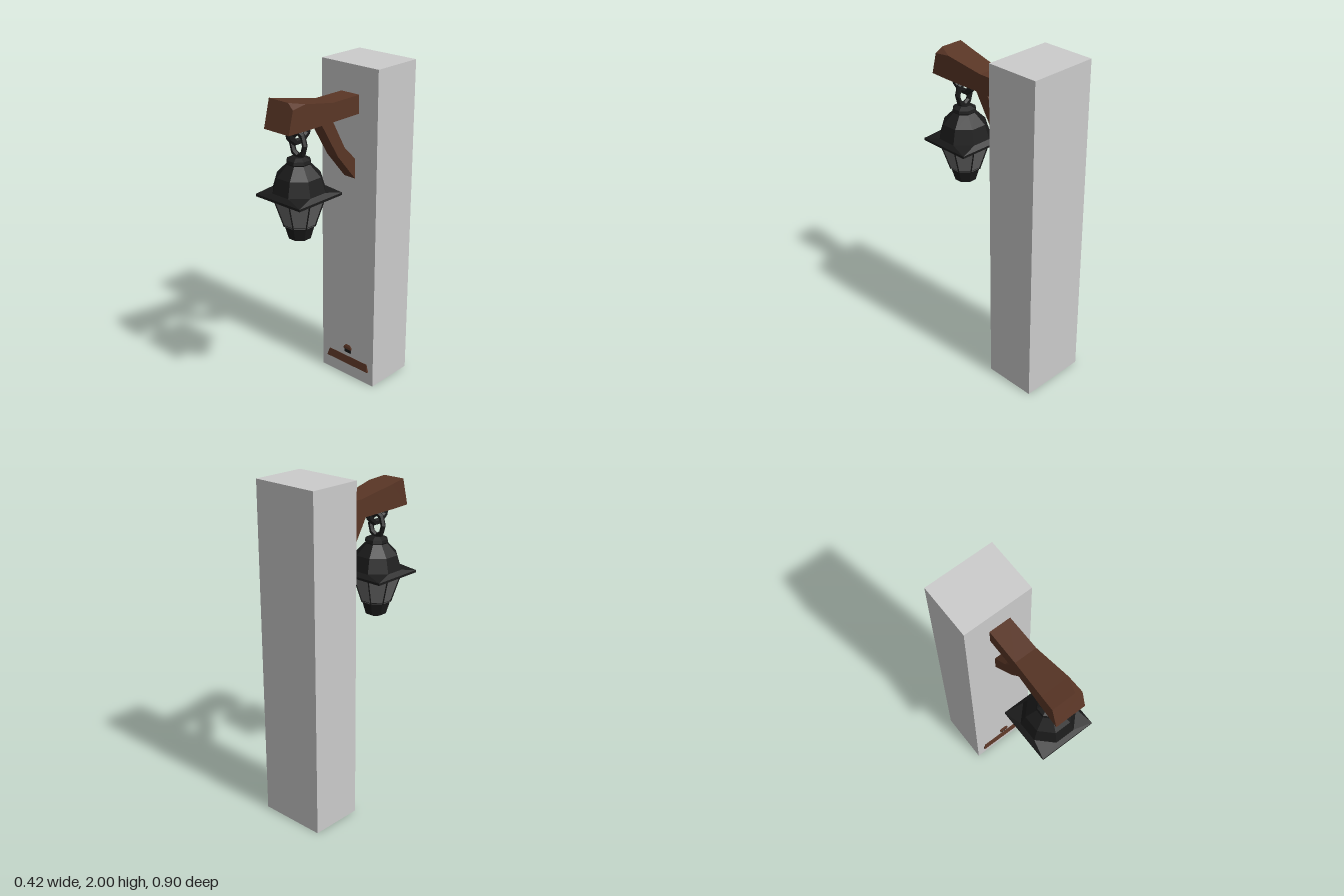
import * as THREE from 'three';

const material = (color) => new THREE.MeshStandardMaterial({ color, flatShading: true });
const stone = material(0xcccccc);
const wood = material(0x5a3626);
const iron = material(0x1b1b1b);
const glass = material(0x666666);

function part(name, geometry, mat, x = 0, y = 0, z = 0) {
  const mesh = new THREE.Mesh(geometry, mat);
  mesh.name = name;
  mesh.position.set(x, y, z);
  return mesh;
}

// Closed skin over cross-sections, each wound counter-clockwise about the direction of travel
function loft(rings) {
  const pos = [];
  const tri = (a, b, c) => pos.push(...a, ...b, ...c);
  const n = rings[0].length;
  for (let i = 0; i < rings.length - 1; i++) {
    for (let j = 0; j < n; j++) {
      const k = (j + 1) % n;
      const a = rings[i][j], b = rings[i][k], c = rings[i + 1][k], d = rings[i + 1][j];
      tri(a, b, c);
      tri(a, c, d);
    }
  }
  const first = rings[0], last = rings[rings.length - 1];
  for (let j = 1; j < n - 1; j++) {
    tri(first[0], first[j + 1], first[j]);
    tri(last[0], last[j], last[j + 1]);
  }
  const geometry = new THREE.BufferGeometry();
  geometry.setAttribute('position', new THREE.Float32BufferAttribute(pos, 3));
  geometry.computeVertexNormals();
  return geometry;
}

// Octagon with a flat front; the square version pulls its points in pairs to four corners
function ring(y, apothem, square = false) {
  const points = [];
  for (let i = 0; i < 8; i++) {
    const angle = square ? Math.PI / 4 + Math.floor(i / 2) * Math.PI / 2 : Math.PI / 8 + i * Math.PI / 4;
    const r = apothem / Math.cos(square ? Math.PI / 4 : Math.PI / 8);
    points.push([Math.sin(angle) * r, y, Math.cos(angle) * r]);
  }
  return points;
}

// Beam section with an optional cut on the upper left corner
function beamSection(l, r, b, t, zBottom, zTop, cutX = 0, cutY = 0) {
  return [[l, b, zBottom], [r, b, zBottom], [r, t - cutY, zTop + cutY * 0.25], [r - cutX, t, zTop], [l, t, zTop]];
}

function createLantern() {
  const lantern = new THREE.Group();
  lantern.name = 'lantern';
  lantern.position.set(0.007, 0, 0.284);

  // Roof with a square brim turning into an eight-sided dome
  lantern.add(part('roof', loft([
    ring(1.345, 0.13), ring(1.348, 0.166, true), ring(1.362, 0.166, true), ring(1.385, 0.142),
    ring(1.47, 0.118), ring(1.535, 0.06),
  ]), iron));
  lantern.add(part('roofCap', loft([
    ring(1.53, 0.055), ring(1.542, 0.066), ring(1.56, 0.062), ring(1.575, 0.035),
  ]), iron));

  // Glass body and its corner ribs
  const top = ring(1.35, 0.137), bottom = ring(1.18, 0.084);
  lantern.add(part('glass', loft([bottom, top]), glass));
  const up = new THREE.Vector3(0, 1, 0);
  for (let i = 0; i < 8; i++) {
    const a = new THREE.Vector3(...bottom[i]), b = new THREE.Vector3(...top[i]);
    const dir = b.clone().sub(a);
    const rib = part('glassRib', new THREE.CylinderGeometry(0.005, 0.005, dir.length(), 4), iron);
    rib.position.copy(a).add(b).multiplyScalar(0.5);
    rib.quaternion.setFromUnitVectors(up, dir.normalize());
    lantern.add(rib);
  }

  lantern.add(part('bottomCup', loft([
    ring(1.088, 0.03), ring(1.103, 0.06), ring(1.175, 0.08), ring(1.19, 0.088),
  ]), iron));

  // Oval ring on the cap, linked through the hook under the beam
  const loop = part('hangingRing', new THREE.TorusGeometry(0.06, 0.017, 6, 8), iron, 0, 1.642, 0);
  loop.scale.set(0.8, 1.15, 1);
  lantern.add(loop);
  const hook = part('hook', new THREE.TorusGeometry(0.082, 0.018, 6, 5, Math.PI), iron, 0, 1.745, 0);
  hook.rotation.set(Math.PI, Math.PI / 2, 0);
  hook.scale.y = 1.1;
  lantern.add(hook);
  return lantern;
}

export function createModel() {
  const model = new THREE.Group();
  model.name = 'lanternPost';

  model.add(part('post', new THREE.BoxGeometry(0.416, 2, 0.322), stone, 0, 1, -0.291));

  // Beam swelling towards its raised end
  model.add(part('beam', loft([
    beamSection(-0.058, 0.072, 1.73, 1.838, -0.14, -0.14),
    beamSection(-0.06, 0.073, 1.73, 1.838, 0.08, 0.08),
    beamSection(-0.078, 0.091, 1.739, 1.883, 0.33, 0.31),
    beamSection(-0.085, 0.097, 1.745, 1.903, 0.443, 0.402, 0.042, 0.03),
  ]), wood));

  // Bent brace: lower and upper edge as [y, z]
  const braceEdges = [
    [[1.335, -0.135], [1.455, -0.135]],
    [[1.51, 0.015], [1.55, -0.04]],
    [[1.74, 0.155], [1.74, 0.065]],
  ];
  model.add(part('brace', loft(braceEdges.map(([lo, hi]) =>
    [[-0.033, ...lo], [0.047, ...lo], [0.047, ...hi], [-0.033, ...hi]])), wood));

  // Sloping board and peg at the foot of the post
  model.add(part('footBoard', loft([
    [[-0.162, 0.088, -0.15], [-0.162, 0.088, -0.118], [0.172, 0.088, -0.118], [0.172, 0.088, -0.15]],
    [[-0.148, 0.137, -0.15], [-0.148, 0.137, -0.128], [0.158, 0.137, -0.128], [0.158, 0.137, -0.15]],
  ]), wood));
  model.add(part('peg', loft([
    [[-0.018, 0.19, -0.15], [-0.024, 0.19, -0.12], [0.034, 0.19, -0.12], [0.028, 0.19, -0.15]],
    [[-0.018, 0.205, -0.15], [-0.024, 0.205, -0.122], [0.034, 0.205, -0.122], [0.028, 0.205, -0.15]],
    [[-0.01, 0.218, -0.15], [-0.012, 0.218, -0.128], [0.022, 0.218, -0.128], [0.02, 0.218, -0.15]],
  ]), wood));
  model.add(part('pegSocket', new THREE.BoxGeometry(0.046, 0.026, 0.026), iron, 0.005, 0.178, -0.137));

  model.add(createLantern());
  return model;
}
